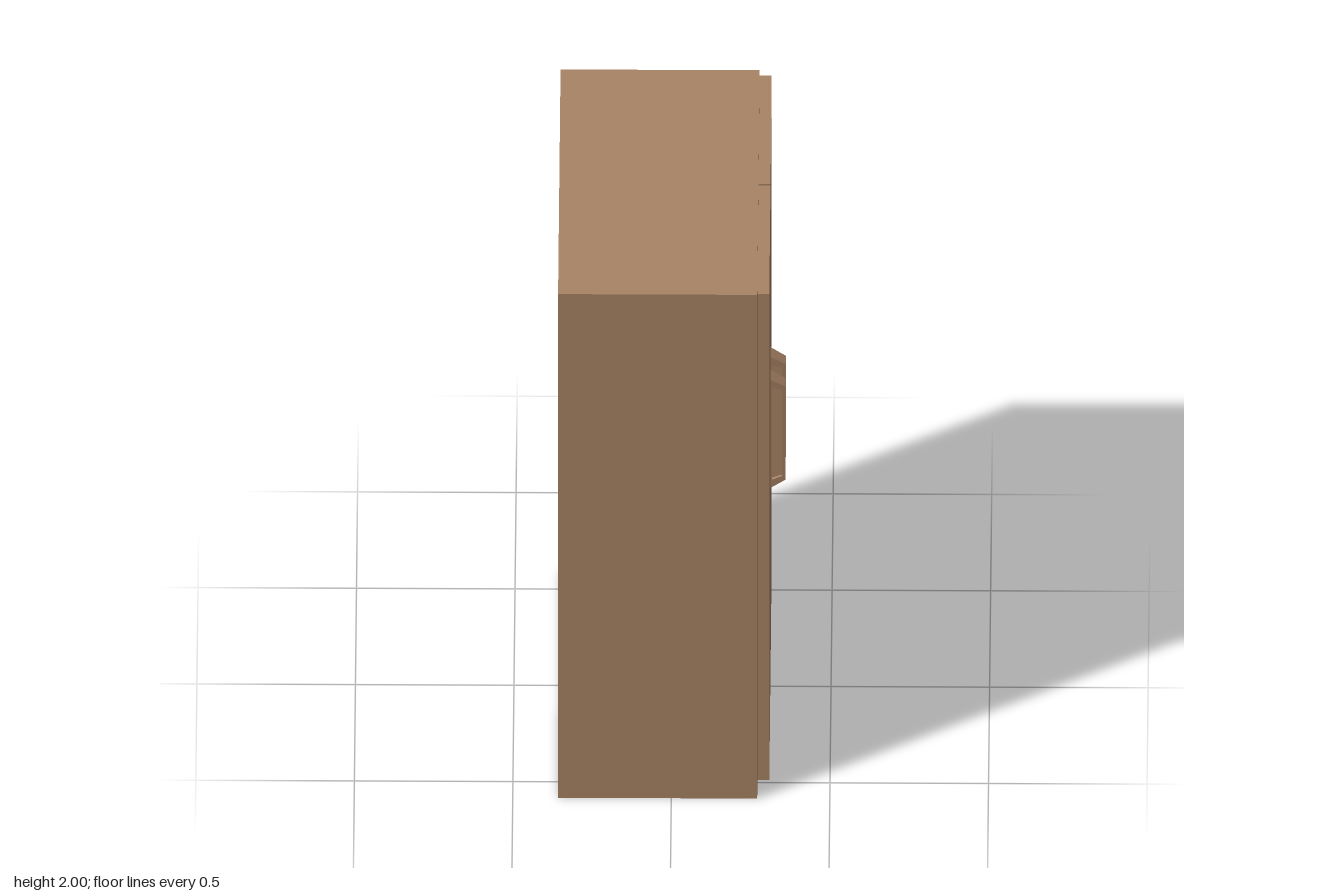
import * as THREE from 'three';

export function createModel() {
  const model = new THREE.Group();
  model.name = 'wardrobe';
  const wood = new THREE.MeshStandardMaterial({ color: 0xa98465 });
  wood.name = 'brown wood';

  // Box given by its lower and upper corners
  function block(name, [x0, y0, z0], [x1, y1, z1], parent = model) {
    const mesh = new THREE.Mesh(new THREE.BoxGeometry(x1 - x0, y1 - y0, z1 - z0), wood);
    mesh.position.set((x0 + x1) / 2, (y0 + y1) / 2, (z0 + z1) / 2);
    mesh.name = name;
    parent.add(mesh);
  }

  // Cabinet and its two doors, facing +x
  block('cabinet', [-0.357, 0, -0.583], [0.271, 2, 0.583]);
  block('rightDoor', [0.271, 0.05, -0.583], [0.309, 1.98, -0.018]);
  block('leftDoor', [0.271, 0.05, -0.011], [0.309, 1.98, 0.553]);

  // Handle: bevelled frame that narrows outward, with a recess in each side
  const depth = 0.048, width = 0.052;
  const outline = new THREE.Shape([
    new THREE.Vector2(0, -0.215), new THREE.Vector2(depth, -0.185),
    new THREE.Vector2(depth, 0.185), new THREE.Vector2(0, 0.215),
  ]);
  outline.holes.push(new THREE.Path([
    new THREE.Vector2(0.005, -0.182), new THREE.Vector2(0.005, 0.182),
    new THREE.Vector2(0.036, 0.17), new THREE.Vector2(0.036, -0.17),
  ]));
  const frame = new THREE.ExtrudeGeometry(outline, { depth: width, bevelEnabled: false });
  frame.translate(0, 0, -width / 2);
  const p = frame.attributes.position;
  for (let i = 0; i < p.count; i++) p.setZ(i, p.getZ(i) * (1 - 0.18 * p.getX(i) / depth));
  frame.computeVertexNormals();

  for (const [name, z] of [['leftHandle', 0.043], ['rightHandle', -0.074]]) {
    const handle = new THREE.Group();
    handle.name = name;
    handle.position.set(0.309, 1.055, z);
    const rim = new THREE.Mesh(frame, wood);
    rim.name = 'handleFrame';
    handle.add(rim);
    block('handleCore', [0.002, -0.184, -0.015], [0.04, 0.184, 0.015], handle);
    model.add(handle);
  }
  return model;
}
